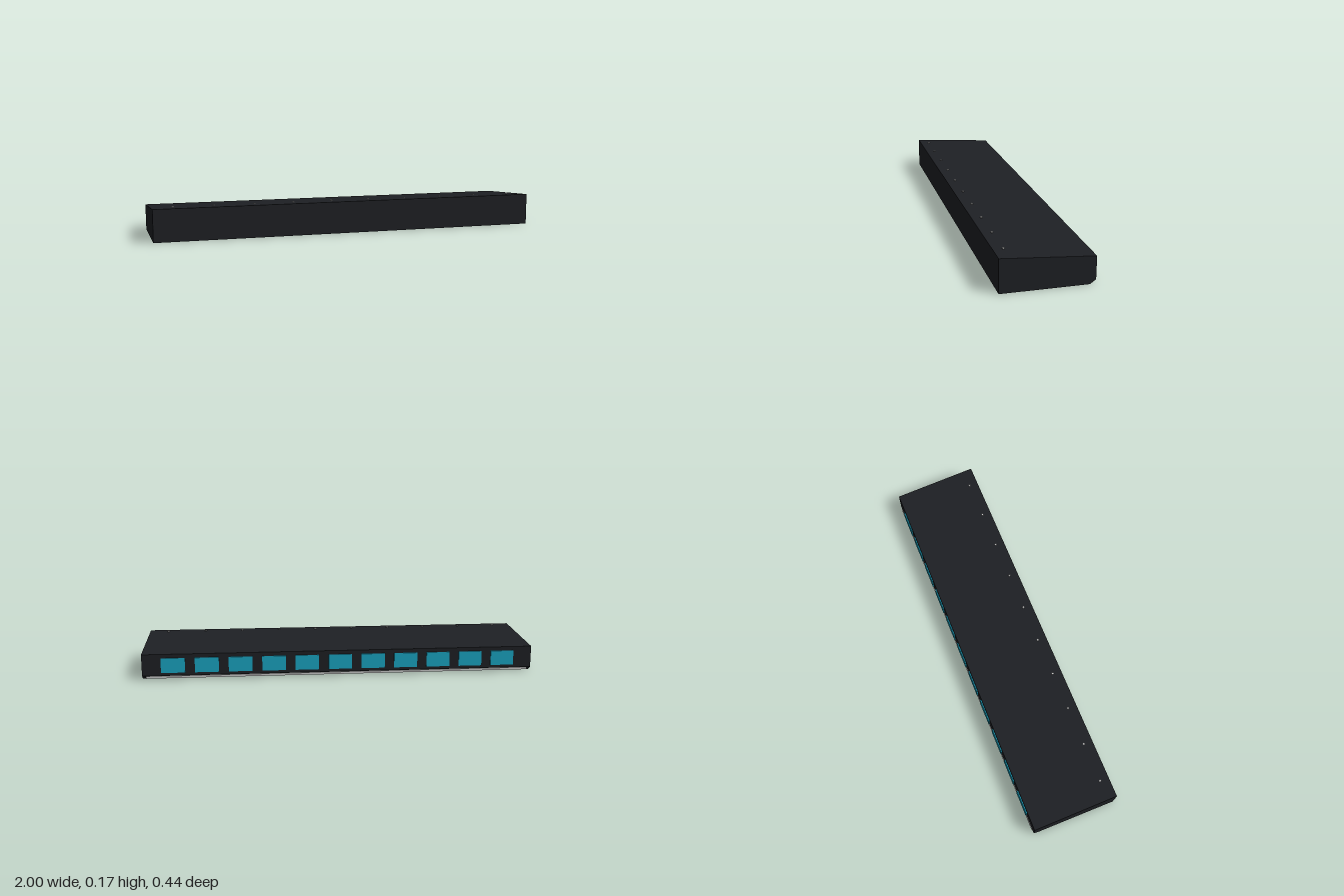
import * as THREE from 'three';

export function createModel() {
  const model = new THREE.Group();
  const dark = new THREE.MeshStandardMaterial({ color: 0x1e2024 });
  const teal = new THREE.MeshStandardMaterial({ color: 0x1aa6c4 });
  const grey = new THREE.MeshStandardMaterial({ color: 0xcccccc });

  function add(name, geometry, material, x, y, z, parent = model) {
    const mesh = new THREE.Mesh(geometry, material);
    mesh.name = name;
    mesh.position.set(x, y, z);
    parent.add(mesh);
    return mesh;
  }

  function addGroup(name) {
    const group = new THREE.Group();
    group.name = name;
    model.add(group);
    return group;
  }

  // Body: side profile (z, y) with sloped top and chamfered lower back edge
  const profile = new THREE.Shape([
    [0.222, 0], [0.222, 0.162], [-0.216, 0.13], [-0.216, 0.02], [-0.188, 0],
  ].map(([z, y]) => new THREE.Vector2(z, y)));
  const body = new THREE.ExtrudeGeometry(profile, { depth: 2, bevelEnabled: false });
  body.translate(0, 0, -1).rotateY(-Math.PI / 2);
  add('body', body, dark, 0, 0, 0);

  // Row of raised panels along the back
  const panels = addGroup('backPanels');
  const panelGeometry = new THREE.BoxGeometry(0.12, 0.075, 0.012);
  for (let i = 0; i < 11; i++) {
    add('backPanel', panelGeometry, teal, (i - 5) * 0.169, 0.0725, -0.216, panels);
  }

  // Thin trim strip under the panels
  add('trimStrip', new THREE.BoxGeometry(1.96, 0.011, 0.008), grey, 0, 0.0125, -0.215);

  // Studs along the front of the top
  const studs = addGroup('topStuds');
  const studGeometry = new THREE.CylinderGeometry(0.006, 0.006, 0.005, 12);
  for (let i = 0; i < 10; i++) {
    add('topStud', studGeometry, grey, -0.9 + i * 0.2, 0.165, 0.175, studs);
  }

  return model;
}
